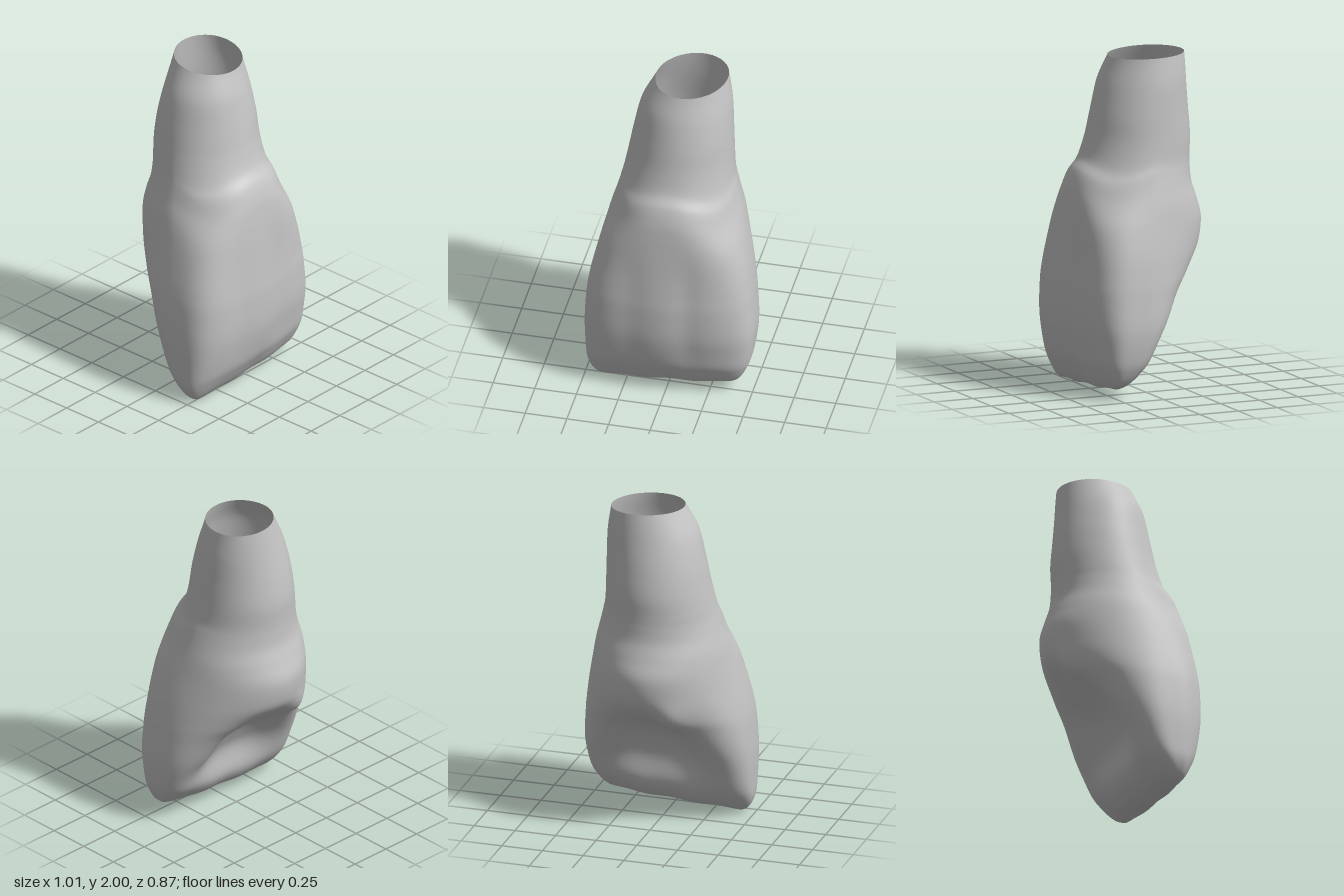
import * as THREE from 'three';

// Cross-sections from cutting edge to root opening:
// y, xMin, xMax, zFront, zBack, z of greatest width, front squareness, back squareness
const SECTIONS = [
  [0.00, -0.42, 0.36, 0.27, 0.20, 0.235, 3, 3],
  [0.03, -0.46, 0.415, 0.303, 0.14, 0.23, 3.1, 3.2],
  [0.10, -0.492, 0.458, 0.346, 0.065, 0.215, 3.2, 3.4],
  [0.20, -0.503, 0.487, 0.391, -0.01, 0.195, 3.2, 3.5],
  [0.40, -0.51, 0.505, 0.43, -0.11, 0.17, 3.2, 3.2],
  [0.60, -0.50, 0.493, 0.436, -0.225, 0.145, 3.2, 2.6],
  [0.72, -0.483, 0.48, 0.429, -0.33, 0.125, 3.2, 2.15],
  [0.85, -0.455, 0.46, 0.418, -0.412, 0.10, 3.1, 1.9],
  [1.00, -0.42, 0.427, 0.405, -0.437, 0.07, 2.9, 1.9],
  [1.12, -0.39, 0.397, 0.392, -0.402, 0.03, 2.7, 2],
  [1.22, -0.36, 0.37, 0.375, -0.37, 0.01, 2.5, 2],
  [1.31, -0.337, 0.347, 0.341, -0.362, 0.0, 2.4, 2],
  [1.38, -0.322, 0.33, 0.288, -0.362, -0.02, 2.2, 2],
  [1.50, -0.30, 0.32, 0.253, -0.365, -0.04, 2, 2],
  [1.65, -0.273, 0.312, 0.223, -0.348, -0.06, 2, 2],
  [1.83, -0.23, 0.298, 0.18, -0.322, -0.08, 2, 2],
  [2.00, -0.15, 0.27, 0.13, -0.30, -0.095, 2, 2],
];
const AROUND = 128, STEPS = 6;
const { smoothstep } = THREE.MathUtils;
const bell = (v, centre, width) => Math.exp(-(((v - centre) / width) ** 2));

// Smooth blend of neighbouring sections
function sectionAt(u) {
  const last = SECTIONS.length - 1;
  const i = Math.min(Math.floor(u), last - 1), t = u - i;
  const [a, b, c, d] = [i - 1, i, i + 1, i + 2].map(k => SECTIONS[Math.max(0, Math.min(last, k))]);
  return b.map((v, k) => v + 0.5 * t * (c[k] - a[k] +
    t * (2 * a[k] - 5 * v + 4 * c[k] - d[k] + t * (3 * (v - c[k]) + d[k] - a[k]))));
}

function surfacePoint(s, angle) {
  const [y0, xMin, xMax, zFront, zBack, zWide, nFront, nBack] = s;
  const c = Math.cos(angle), sn = Math.sin(angle), front = sn > 0;
  const n = front ? nFront : nBack;
  const r = (Math.abs(c) ** n + Math.abs(sn) ** n) ** (-1 / n);
  const x = (xMin + xMax) / 2 + (xMax - xMin) / 2 * r * c;
  const depth = Math.abs(r * sn);
  let y = y0, z = zWide + (front ? zFront - zWide : zWide - zBack) * r * sn;
  if (front) {
    // Central swelling, shallow lengthwise grooves and slight twist of the front face
    const crown = smoothstep(y0, 0.0, 0.35) * (1 - smoothstep(y0, 0.7, 1.2)) * depth;
    z -= crown * (0.04 * x + 0.014 * (1 - bell(x, -0.03, 0.17)) +
      0.01 * bell(x, 0.14, 0.08) + 0.008 * bell(x, -0.2, 0.09));
    // Enamel rim arches down towards the sides
    y -= 1.1 * x * x * bell(y0, 1.3, 0.2) * depth;
  } else {
    // Hollow of the back face between the two side ridges
    const hollow = smoothstep(y0, 0.04, 0.42) * (1 - smoothstep(y0, 0.5, 0.86));
    const width = 0.33 - 0.17 * smoothstep(y0, 0.15, 0.85);
    const centre = 0.02 + 0.04 * smoothstep(y0, 0.4, 0.8);
    z += 0.14 * hollow * Math.exp(-(Math.abs((x - centre) / width) ** 3)) * smoothstep(depth, 0, 0.7);
    // Swelling at the top of the right-hand ridge
    z -= 0.045 * bell(x, -0.15, 0.11) * bell(y0, 0.72, 0.11) * depth;
  }
  // Slanted, slightly wavy cutting edge
  const low = 1 - smoothstep(y0, 0, 0.5);
  y += low * (0.065 * Math.max(0, x + 0.42) + 0.004 * (1 - Math.cos((x + 0.42) * 22)));
  // Root opening, tilted and a little skewed
  const top = smoothstep(y0, 1.6, 2);
  z -= 0.12 * (x - 0.06) * top;
  y -= 0.058 * (z + 0.3) * smoothstep(y0, 1.8, 2);
  return [x, y, z];
}

function toothGeometry() {
  const positions = [], index = [];
  const rows = (SECTIONS.length - 1) * STEPS;
  for (let j = 0; j <= rows; j++) {
    const s = sectionAt(j / STEPS);
    for (let i = 0; i < AROUND; i++) positions.push(...surfacePoint(s, i / AROUND * Math.PI * 2));
  }
  for (let j = 0; j < rows; j++) {
    for (let i = 0; i < AROUND; i++) {
      const k = (i + 1) % AROUND;
      const a = j * AROUND + i, b = j * AROUND + k;
      index.push(a, a + AROUND, b, b, a + AROUND, b + AROUND);
    }
  }
  // Close the narrow cutting edge by joining its front and back halves
  for (let i = 0; i < AROUND / 2; i++) {
    const a = i, b = i + 1, c = (AROUND - i) % AROUND, d = AROUND - i - 1;
    if (a !== c) index.push(a, b, c);
    if (b !== d) index.push(b, d, c);
  }
  const geometry = new THREE.BufferGeometry();
  geometry.setAttribute('position', new THREE.Float32BufferAttribute(positions, 3));
  geometry.setIndex(index);
  geometry.computeVertexNormals();
  return geometry;
}

export function createModel() {
  const group = new THREE.Group();
  group.name = 'incisorTooth';
  const enamel = new THREE.MeshStandardMaterial({ color: 0xc4c4c4, side: THREE.DoubleSide });
  enamel.name = 'tooth grey';
  const tooth = new THREE.Mesh(toothGeometry(), enamel);
  tooth.name = 'crownAndRoot';
  group.add(tooth);
  return group;
}
